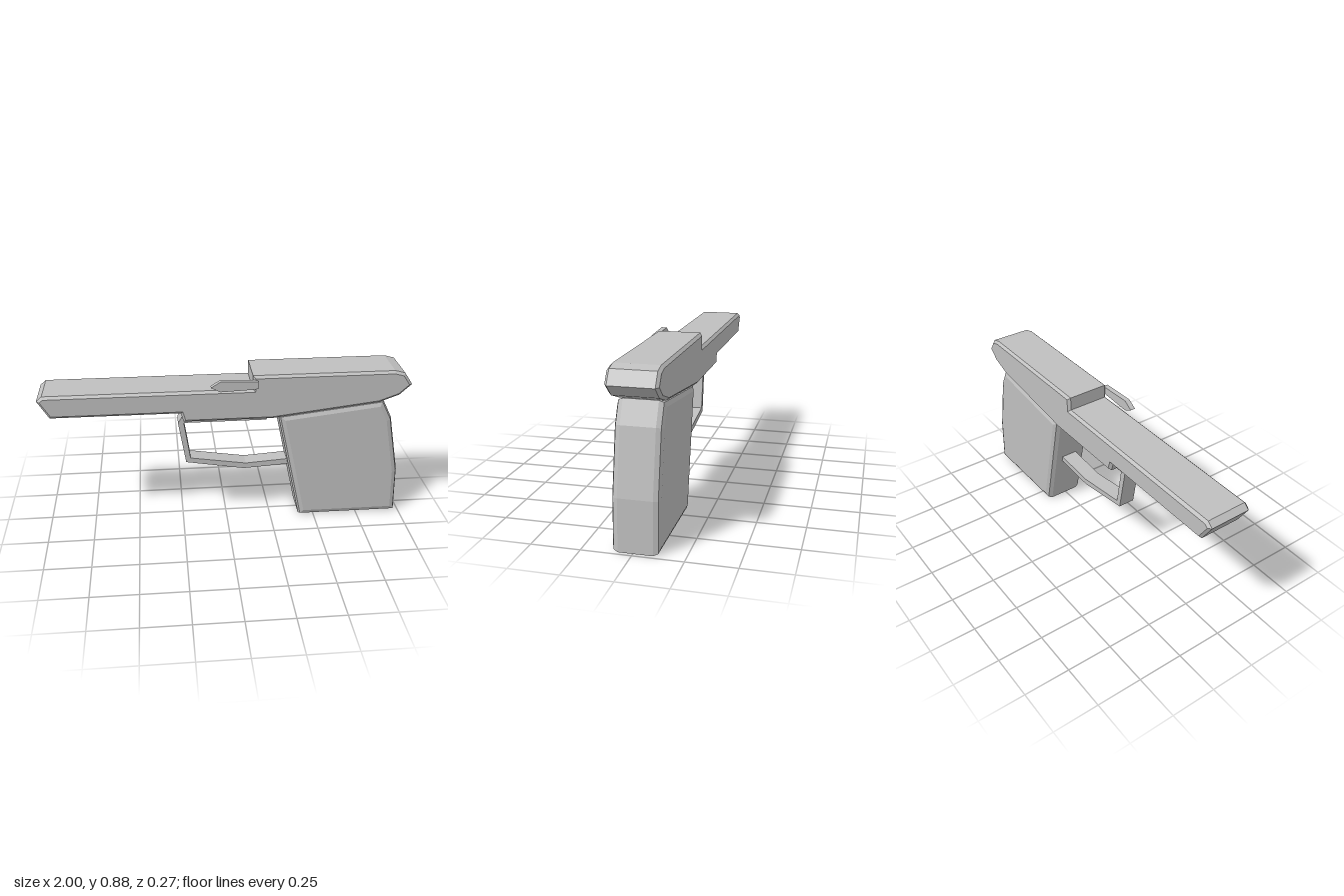
import * as THREE from 'three';

const grey = new THREE.MeshStandardMaterial({ color: 0xbfbfbf });
grey.name = 'plain grey';

// Side profile extruded between zMin and zMax, with the bevel cut inside the outline
function plate(name, points, zMin, zMax, bevel = 0, segments = 1) {
  const shape = new THREE.Shape(points.map(([x, y]) => new THREE.Vector2(x, y)));
  const geometry = new THREE.ExtrudeGeometry(shape, {
    depth: zMax - zMin - 2 * bevel,
    bevelEnabled: bevel > 0,
    bevelThickness: bevel,
    bevelSize: bevel,
    bevelOffset: -bevel,
    bevelSegments: segments,
  });
  geometry.translate(0, 0, zMin + bevel);
  const mesh = new THREE.Mesh(geometry, grey);
  mesh.name = name;
  return mesh;
}

export function createModel() {
  const model = new THREE.Group();
  model.name = 'pistol';

  // Barrel and raised rear housing in one profile
  model.add(plate('body', [
    [-1, 0.78], [-0.94, 0.68], [-0.25, 0.68], [-0.235, 0.63], [0.245, 0.63],
    [0.825, 0.7], [0.935, 0.74], [1, 0.8], [0.955, 0.867], [0.9, 0.882],
    [0.135, 0.882], [0.135, 0.806], [-0.97, 0.806],
  ], -0.135, 0.115, 0.014));

  // Handle with a rounded two-step bevel
  model.add(plate('grip', [
    [0.415, 0], [0.98, 0], [0.972, 0.265], [0.91, 0.595], [0.855, 0.708], [0.28, 0.638],
  ], -0.129, 0.106, 0.032, 2));

  // Thin open loop under the body, running back into the grip
  model.add(plate('triggerGuard', [
    [-0.265, 0.59], [-0.225, 0.345], [0.1, 0.29], [0.38, 0.308], [0.38, 0.341],
    [0.11, 0.322], [-0.2, 0.37], [-0.233, 0.59], [0.22, 0.59], [0.255, 0.635],
    [-0.237, 0.635],
  ], -0.056, 0.036));

  // Small pointed lever on the front face
  model.add(plate('lever', [
    [-0.09, 0.836], [-0.04, 0.81], [0.14, 0.818], [0.16, 0.822], [0.16, 0.86], [-0.04, 0.868],
  ], 0.11, 0.138));

  return model;
}
